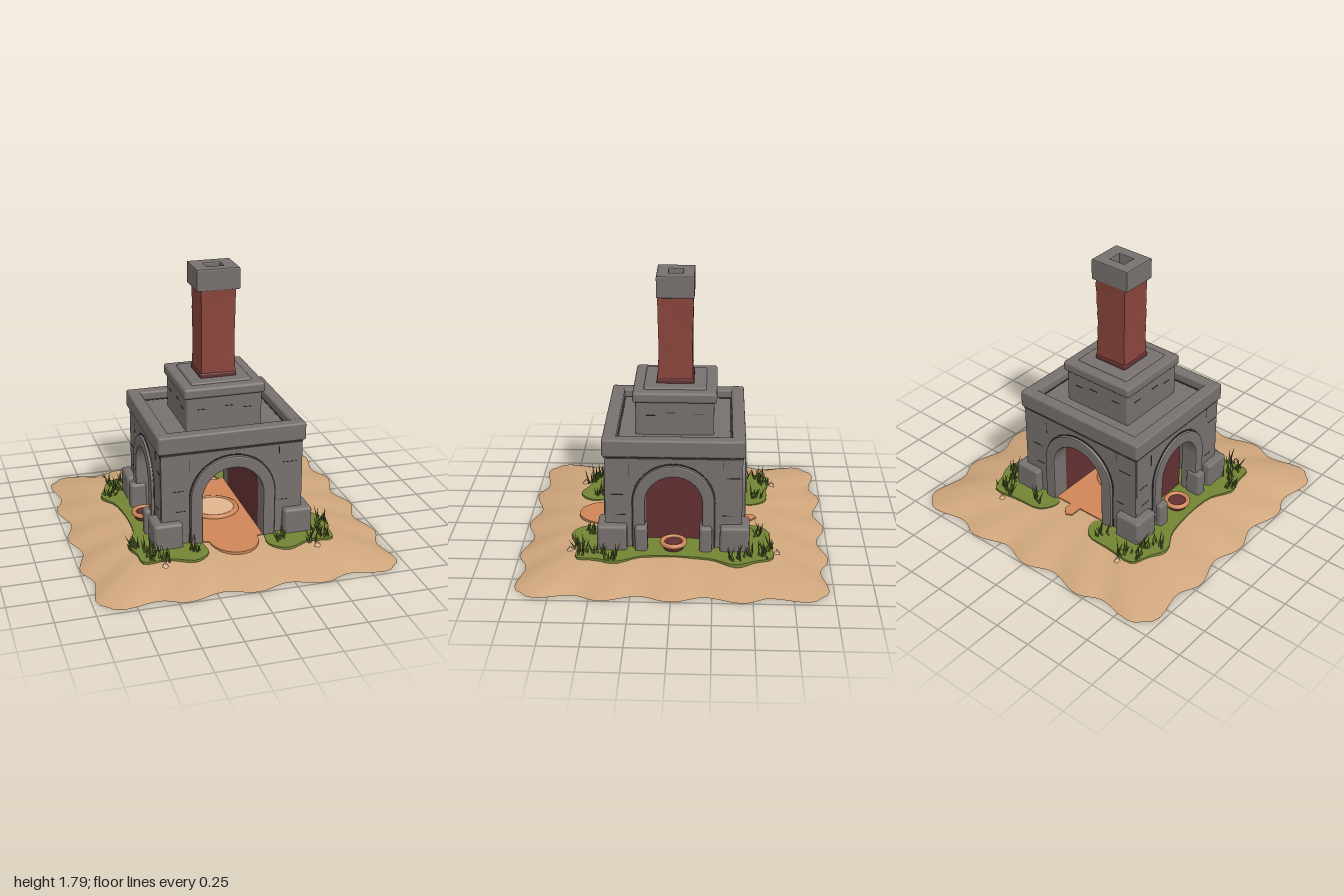
import * as THREE from 'three';
import { RoundedBoxGeometry } from 'three/addons/geometries/RoundedBoxGeometry.js';

const mat = (name, color, side = THREE.FrontSide) =>
  Object.assign(new THREE.MeshStandardMaterial({ color, side }), { name });

export function createModel() {
  const model = new THREE.Group();
  model.name = 'stoneFurnace';
  const stone = mat('stone', 0x77716e);
  const gap = mat('dark gaps', 0x343131);
  const brick = mat('red brick', 0x8a453c);
  const lining = mat('dark red lining', 0x633032, THREE.DoubleSide);
  const sand = mat('sand', 0xcfa67c);
  const clay = mat('orange clay', 0xd08658);
  const grass = mat('grass', 0x738434);
  const blade = mat('grass blades', 0x5a6a2a, THREE.DoubleSide);
  const ash = mat('pale ash', 0xe0b68e);

  const add = (name, geo, material, x = 0, y = 0, z = 0, parent = model) => {
    const m = new THREE.Mesh(geo, material);
    m.name = name;
    m.position.set(x, y, z);
    parent.add(m);
    return m;
  };
  // box given by its limits on each axis
  const block = (name, material, x0, x1, y0, y1, z0, z1, r = 0.014) => {
    const s = [x1 - x0, y1 - y0, z1 - z0];
    const geo = r ? new RoundedBoxGeometry(...s, 2, r) : new THREE.BoxGeometry(...s);
    return add(name, geo, material, (x0 + x1) / 2, (y0 + y1) / 2, (z0 + z1) / 2);
  };
  let seed = 7;
  const rand = () => (seed = (seed * 16807) % 2147483647) / 2147483647;

  // ---- sand mound: wavy rounded square, domed towards the middle
  const edge = (a) => {
    const c = Math.cos(a), s = Math.sin(a), n = 10;
    const r = 0.965 / Math.pow(Math.abs(c) ** n + Math.abs(s) ** n, 1 / n);
    const q = Math.min(Math.abs(c), Math.abs(s)) * r;
    const k = 1 + 0.031 * Math.cos((2 * Math.PI * q) / 0.42);
    return [c * r * k, s * r * k];
  };
  const N = 160, rings = [0.5, 0.6, 0.7, 0.8, 0.88, 0.95, 1], pos = [0, 0.09, 0], idx = [];
  for (const t of rings) for (let i = 0; i < N; i++) {
    const [x, z] = edge((i / N) * Math.PI * 2);
    pos.push(x * t, 0.09 * (1 - ((t - 0.5) / 0.5) ** 2), z * t);
  }
  for (let i = 0; i < N; i++) {
    const j = (i + 1) % N;
    idx.push(0, 1 + j, 1 + i);
    for (let k = 0; k < rings.length - 1; k++) {
      const a = 1 + k * N, b = a + N;
      idx.push(a + i, a + j, b + i, a + j, b + j, b + i);
    }
  }
  const mound = new THREE.BufferGeometry();
  mound.setAttribute('position', new THREE.Float32BufferAttribute(pos, 3));
  mound.setIndex(idx);
  mound.computeVertexNormals();
  add('sandMound', mound, sand);
  const outline = [];
  for (let i = 0; i < N; i++) outline.push(new THREE.Vector2(...edge((i / N) * Math.PI * 2)));
  add('sandUnderside', new THREE.ShapeGeometry(new THREE.Shape(outline)).rotateX(Math.PI / 2), sand);

  // ---- flat patches on the ground, drawn as (x, z) outlines
  const patch = (name, pts, material, top, smooth = true) => {
    const v = pts.map((p) => new THREE.Vector2(...p));
    const line = smooth ? new THREE.CatmullRomCurve3(v.map((p) => new THREE.Vector3(p.x, p.y, 0)), true)
      .getPoints(60).slice(0, -1).map((p) => new THREE.Vector2(p.x, p.y)) : v;
    const geo = new THREE.ExtrudeGeometry(new THREE.Shape(line), { depth: 0.025, bevelEnabled: false });
    return add(name, geo.rotateX(Math.PI / 2), material, 0, top, 0);
  };
  const lawn = [[0.22, -0.4], [0.15, -0.48], [0.21, -0.6], [0.4, -0.62], [0.59, -0.63], [0.64, -0.52],
    [0.69, -0.39], [0.62, -0.24], [0.59, 0], [0.6, 0.2], [0.67, 0.36], [0.64, 0.48], [0.62, 0.61],
    [0.45, 0.61], [0.3, 0.67], [0.2, 0.59], [0.21, 0.42]];
  for (const s of [1, -1]) patch('lawn', lawn.map(([x, z]) => [x * s, z]), grass, 0.095);
  const floor = [[-0.2, -0.44], [0, -0.44], [0, -0.52], [0.04, -0.54], [0.08, -0.5], [0.08, -0.44], [0.2, -0.44], [0.2, 0.45]];
  for (let i = 0; i <= 16; i++) {
    const a = (i / 16) * Math.PI;
    floor.push([0.16 * Math.cos(a), 0.46 + 0.19 * Math.sin(a)]);
  }
  floor.push([-0.2, 0.45]);
  patch('clayFloor', floor, clay, 0.098, false);
  add('hearthRim', new THREE.TorusGeometry(0.15, 0.02, 8, 32).rotateX(Math.PI / 2), clay, 0, 0.1, 0);
  add('ashBed', new THREE.CylinderGeometry(0.14, 0.15, 0.03, 32), ash, 0, 0.098, 0);

  // ---- grass tufts
  const tufts = [[0.57, 0.57], [0.28, 0.55], [0.63, 0.39], [0.49, 0.6], [0.56, 0.47]];
  for (const sx of [1, -1]) for (const sz of [1, -1]) for (const [tx, tz] of tufts) {
    const tuft = new THREE.Group();
    tuft.name = 'grassTuft';
    tuft.position.set(tx * sx, 0.085, tz * sz);
    for (let i = 0; i < 9; i++) {
      const h = 0.05 + rand() * 0.075, a = rand() * 6.28, lean = rand() * 0.6;
      const geo = new THREE.ConeGeometry(0.009, h, 3).translate(0, h / 2, 0).rotateX(lean).rotateY(a);
      add('blade', geo, blade, (rand() - 0.5) * 0.07, 0, (rand() - 0.5) * 0.07, tuft);
    }
    model.add(tuft);
  }
  for (const sx of [1, -1]) for (const sz of [1, -1])
    add('pebble', new THREE.ConeGeometry(0.025, 0.04, 5), ash, 0.5 * sx, 0.09, 0.66 * sz);

  // ---- walls with arched openings
  const arch = (P, r, spring, base) => {
    const p = new P();
    p.moveTo(r, base).lineTo(r, spring).absarc(0, spring, r, 0, Math.PI, false).lineTo(-r, base);
    p.closePath();
    return p;
  };
  const extrude = (shape, depth, bevel = 0) => new THREE.ExtrudeGeometry(shape, {
    depth: depth - bevel * 2, curveSegments: 24, bevelEnabled: bevel > 0,
    bevelSize: bevel, bevelThickness: bevel, bevelOffset: -bevel, bevelSegments: 2 }).translate(0, 0, bevel);
  const archBand = (inner, outer, spring) => {
    const s = new THREE.Shape();
    s.moveTo(outer, 0.08).lineTo(outer, spring).absarc(0, spring, outer, 0, Math.PI, false);
    s.lineTo(-outer, 0.08).lineTo(-inner, 0.08).lineTo(-inner, spring);
    s.absarc(0, spring, inner, Math.PI, 0, true).lineTo(inner, 0.08).closePath();
    return s;
  };
  const wall = (half, r, spring) => {
    const s = new THREE.Shape();
    s.moveTo(-half, 0.08).lineTo(-r, 0.08).lineTo(-r, spring).absarc(0, spring, r, Math.PI, 0, true);
    s.lineTo(r, 0.08).lineTo(half, 0.08).lineTo(half, 0.74).lineTo(-half, 0.74).closePath();
    return s;
  };
  // half = wall half width, d = distance of its face from the centre
  const facade = (name, angle, half, d, r, spring, proud) => {
    const g = new THREE.Group();
    g.name = name;
    g.rotation.y = angle;
    add('wall', extrude(wall(half, r + 0.02, spring), 0.1), stone, 0, 0, d - 0.1, g);
    add('archGap', extrude(archBand(r + 0.06, r + 0.087, spring), 0.004), gap, 0, 0, d, g);
    add('archTrim', extrude(archBand(r, r + 0.08, spring), 0.1 + proud, 0.012), stone, 0, 0, d - 0.1, g);
    add('corniceGap', new THREE.BoxGeometry(half * 2, 0.016, 0.006), gap, 0, 0.715, d, g);
    // short mortar joints
    for (const [u, y, w, h] of [[0.38, 0.58, 0.09, 0.004], [-0.36, 0.46, 0.08, 0.004], [0.34, 0.32, 0.06, 0.004],
      [-0.34, 0.32, 0.07, 0.004], [-0.28, 0.63, 0.004, 0.08], [0.31, 0.67, 0.004, 0.06]])
      add('mortarJoint', new THREE.BoxGeometry(w, h, 0.004), gap, u, y, d, g);
    model.add(g);
    return g;
  };
  for (const s of [0, 1]) {
    facade(s ? 'backWall' : 'frontWall', s * Math.PI, 0.465, 0.435, 0.2, 0.39, 0.025);
    const side = facade(s ? 'rightWall' : 'leftWall', Math.PI / 2 - s * Math.PI, 0.425, 0.468, 0.18, 0.41, 0.022);
    add('nicheBack', new THREE.ShapeGeometry(arch(THREE.Shape, 0.19, 0.41, 0.08), 24), lining, 0, 0, 0.35, side);
  }
  add('tunnelLining', extrude(archBand(0.202, 0.22, 0.39), 0.78), lining, 0, 0, -0.39);

  // ---- corner buttresses, side posts and fire bowls
  for (const sx of [1, -1]) {
    const span = (a, b, s) => (s > 0 ? [a, b] : [-b, -a]);
    for (const sz of [1, -1]) {
      block('cornerButtress', stone, ...span(0.335, 0.525, sx), 0.07, 0.26, ...span(0.295, 0.485, sz), 0.02);
      block('sidePost', stone, ...span(0.42, 0.53, sx), 0.07, 0.26, ...span(0.165, 0.245, sz), 0.02);
    }
    add('bowlRim', new THREE.TorusGeometry(0.072, 0.016, 8, 28).rotateX(Math.PI / 2), clay, sx * 0.475, 0.135, 0);
    add('bowlBody', new THREE.CylinderGeometry(0.075, 0.062, 0.05, 28), lining, sx * 0.475, 0.112, 0);
  }

  // ---- cornice rim, sunken roof and upper tier
  for (const s of [1, -1]) {
    const z = s > 0 ? [0.365, 0.45] : [-0.45, -0.365], x = s > 0 ? [0.4, 0.485] : [-0.485, -0.4];
    block('corniceLong', stone, -0.485, 0.485, 0.722, 0.84, ...z);
    block('corniceShort', stone, ...x, 0.722, 0.838, -0.44, 0.44);
    block('roofGapLong', gap, -0.4, 0.4, 0.78, 0.784, s * 0.36 - 0.006, s * 0.36 + 0.006, 0);
    block('roofGapShort', gap, s * 0.396 - 0.005, s * 0.396 + 0.005, 0.78, 0.784, -0.36, 0.36, 0);
    // dashed joints on the upper tier
    for (const [u, y] of [[-0.15, 0.92], [0.03, 0.93], [0.15, 0.91]]) {
      block('tierJoint', gap, u - 0.03, u + 0.03, y, y + 0.004, s * 0.251 - 0.002, s * 0.251 + 0.002, 0);
      block('tierJoint', gap, s * 0.251 - 0.002, s * 0.251 + 0.002, y, y + 0.004, u - 0.03, u + 0.03, 0);
    }
  }
  block('roof', stone, -0.44, 0.44, 0.67, 0.782, -0.41, 0.41, 0);
  block('upperTier', stone, -0.25, 0.25, 0.76, 1.02, -0.25, 0.25);
  block('tierCap', stone, -0.268, 0.268, 1.0, 1.07, -0.268, 0.268, 0.018);
  block('tierCapTop', stone, -0.2, 0.2, 1.05, 1.082, -0.2, 0.2);

  // ---- chimney with uneven brick faces
  const shaft = new THREE.BoxGeometry(0.222, 0.58, 0.222, 4, 14, 4);
  const p = shaft.attributes.position;
  for (let i = 0; i < p.count; i++) {
    const x = p.getX(i), y = p.getY(i), z = p.getZ(i);
    const k = 1 + 0.025 * Math.sin(y * 37 + x * 22) * Math.cos(y * 23 + z * 26) + 0.05 * (y / 0.29) ** 2 - 0.02;
    p.setXYZ(i, x * k, y, z * k);
  }
  shaft.computeVertexNormals();
  add('chimneyShaft', shaft, brick, 0, 1.365, 0);
  block('chimneyFoot', lining, -0.12, 0.12, 1.07, 1.11, -0.12, 0.12, 0.01);
  const cap = new THREE.Shape([[-0.14, -0.12], [0.14, -0.12], [0.14, 0.12], [-0.14, 0.12]].map((v) => new THREE.Vector2(...v)));
  cap.holes.push(new THREE.Path([[-0.055, -0.045], [-0.055, 0.045], [0.055, 0.045], [0.055, -0.045]].map((v) => new THREE.Vector2(...v))));
  add('chimneyCap', extrude(cap, 0.142, 0.008).rotateX(-Math.PI / 2), stone, 0, 1.65, 0);
  block('flue', brick, -0.07, 0.07, 1.64, 1.67, -0.06, 0.06, 0);
  return model;
}
